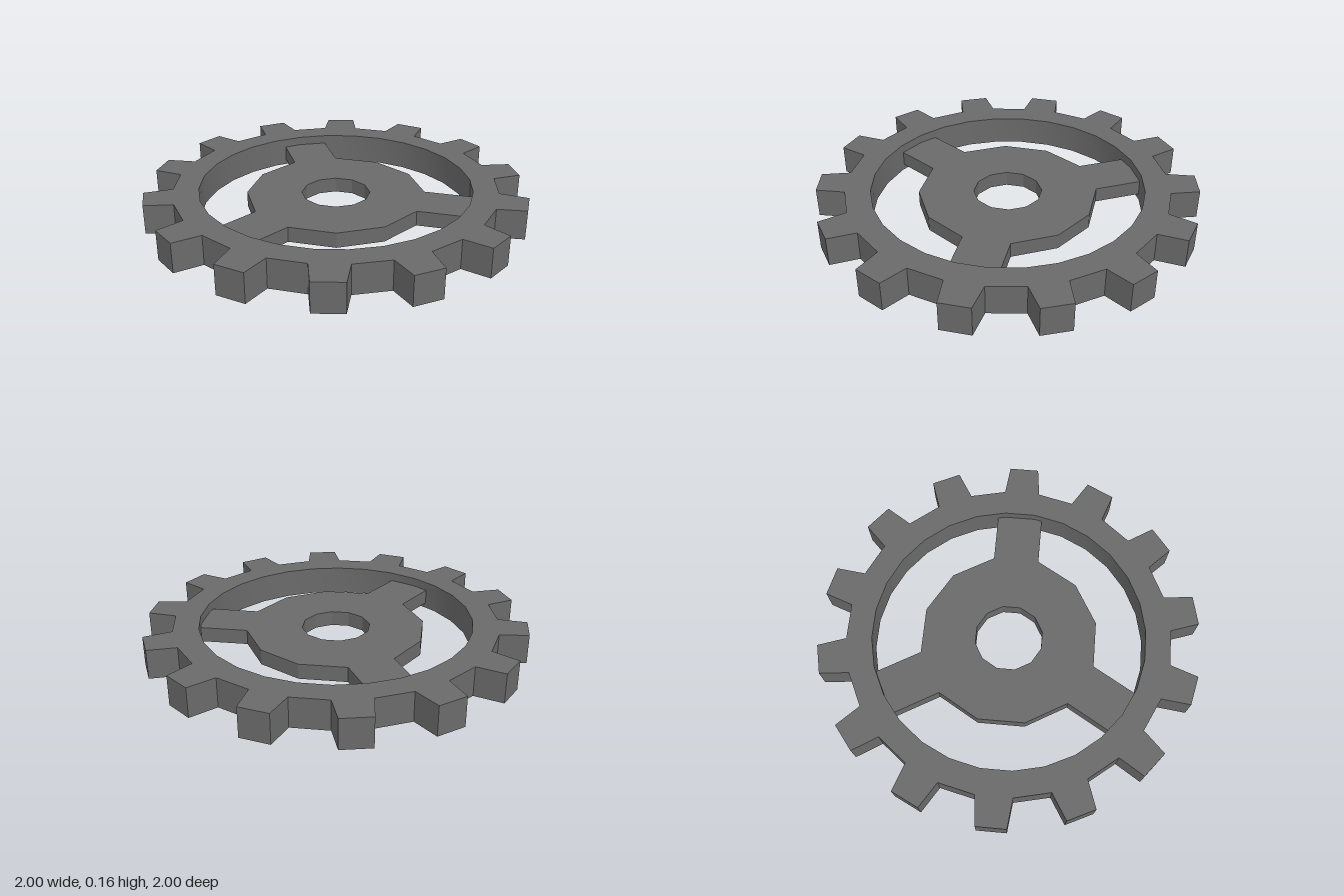
import * as THREE from 'three';
import { toCreasedNormals } from 'three/addons/utils/BufferGeometryUtils.js';

const TEETH = 14;

// Point at radius r, angle in degrees clockwise from the back
const polar = (r, deg) => {
  const a = THREE.MathUtils.degToRad(deg);
  return new THREE.Vector2(r * Math.sin(a), r * Math.cos(a));
};

// Regular polygon, wound against the outlines so that it cuts a hole
const hole = (r, n) => Array.from({ length: n }, (_, i) => polar(r, (-i * 360) / n));

// Upright slab from an outline with one round hole
function slab(name, outline, opening, y, height, material) {
  const shape = new THREE.Shape(outline);
  shape.holes.push(new THREE.Path(opening));
  const geometry = new THREE.ExtrudeGeometry(shape, { depth: height, bevelEnabled: false });
  geometry.rotateX(-Math.PI / 2);
  geometry.translate(0, y, 0);
  const mesh = new THREE.Mesh(toCreasedNormals(geometry, 0.3), material);
  mesh.name = name;
  return mesh;
}

export function createModel() {
  const group = new THREE.Group();
  group.name = 'gearWheel';
  const material = new THREE.MeshStandardMaterial({ color: 0x6a6a6a });

  // Toothed rim: each pitch is one tapered tooth followed by one gap
  const rim = [];
  const pitch = 360 / TEETH;
  for (let i = 0; i < TEETH; i++) {
    const a = i * pitch;
    rim.push(polar(0.85, a), polar(1, a + 1.95), polar(1, a + pitch / 2 - 1.95), polar(0.85, a + pitch / 2));
  }
  group.add(slab('toothedRim', rim, hole(0.717, TEETH * 2), 0, 0.157, material));

  // Twelve-sided hub; every fourth side runs out into a spoke
  const hub = [];
  for (let i = 0; i < 12; i++) {
    const corner = polar(0.47, i * 30);
    hub.push(corner);
    if (i % 4 === 0) {
      const out = polar(0.266, i * 30 + 15);
      hub.push(corner.clone().add(out), polar(0.47, i * 30 + 30).add(out));
    }
  }
  group.add(slab('hubWithSpokes', hub, hole(0.18, 12), 0.03, 0.08, material));

  return group;
}
